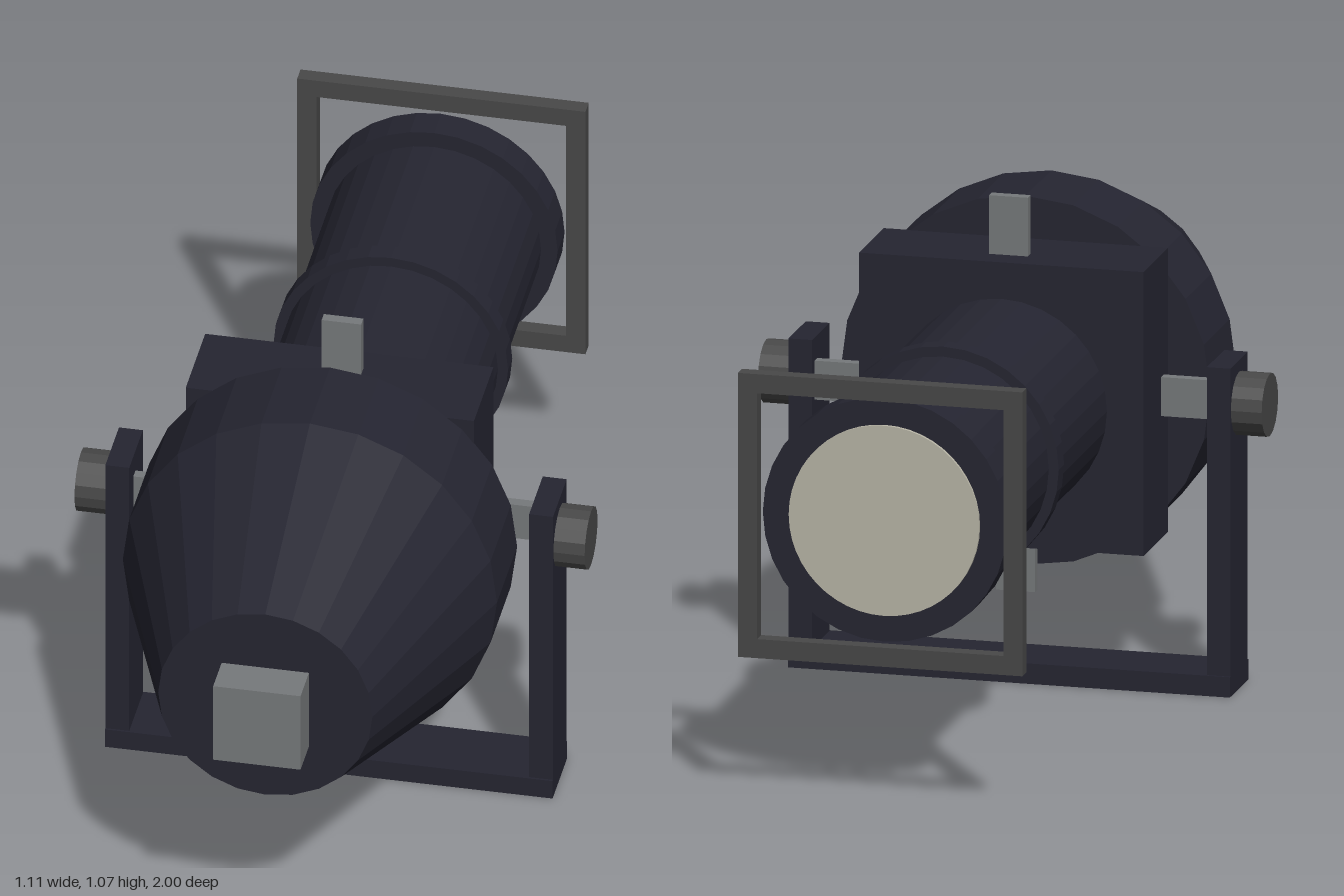
import * as THREE from 'three';

const AXIS_Y = 0.631; // height of the optical axis

export function createModel() {
  const model = new THREE.Group();
  model.name = 'stageSpotlight';

  const mat = (name, color, flatShading = false) => {
    const m = new THREE.MeshStandardMaterial({ color, flatShading });
    m.name = name;
    return m;
  };
  const black = mat('blackHousing', 0x252531, true);
  const grey = mat('bareMetal', 0x76797b, true);
  const darkGrey = mat('darkGreyMetal', 0x484848, true);
  const glass = mat('lensGlass', 0xb8b5a6);

  const add = (name, geometry, material, x = 0, y = 0, z = 0) => {
    const mesh = new THREE.Mesh(geometry, material);
    mesh.name = name;
    mesh.position.set(x, y, z);
    model.add(mesh);
    return mesh;
  };
  const box = (name, w, h, d, material, x, y, z) =>
    add(name, new THREE.BoxGeometry(w, h, d), material, x, y, z);
  // Cylinder along the optical axis, from zBack to zFront
  const barrel = (name, rBack, rFront, zBack, zFront, material, sides = 32) =>
    add(name, new THREE.CylinderGeometry(rFront, rBack, zFront - zBack, sides).rotateX(Math.PI / 2),
      material, 0, AXIS_Y, (zBack + zFront) / 2);

  // Lamp house: straight drum, tapered cap and cable plug
  barrel('lampHouseDrum', 0.407, 0.407, 0.22, 0.435, black, 24);
  barrel('lampHouseTaper', 0.407, 0.233, 0.435, 0.91, black, 24);
  box('cablePlug', 0.19, 0.19, 0.09, grey, 0, AXIS_Y, 0.955);

  // Gate block in the middle
  box('gateBlock', 0.627, 0.627, 0.207, black, 0, AXIS_Y, 0.119);

  // Four shutter handles, each on its own plane
  const reach = 0.443, inner = 0.28, mid = (reach + inner) / 2, len = reach - inner;
  box('topShutter', 0.086, len, 0.023, grey, 0, AXIS_Y + mid, 0.088);
  box('leftShutter', len, 0.086, 0.023, grey, mid, AXIS_Y, 0.117);
  box('bottomShutter', 0.086, len, 0.023, grey, 0, AXIS_Y - mid, 0.146);
  box('rightShutter', len, 0.086, 0.023, grey, -mid, AXIS_Y, 0.175);

  // Lens tube with its rings and lens
  barrel('lensTube', 0.233, 0.233, -0.9, 0.02, black);
  barrel('middleRing', 0.255, 0.255, -0.472, -0.427, black);
  barrel('endRing', 0.269, 0.269, -0.96, -0.886, black);
  barrel('lens', 0.21, 0.21, -0.968, -0.959, glass, 48);

  // Focus knob under the tube
  add('focusKnob', new THREE.CylinderGeometry(0.03, 0.03, 0.09, 16).rotateZ(Math.PI / 2),
    grey, 0, 0.363, -0.63);

  // Square filter frame at the lens end
  const half = 0.3135, bar = 0.042;
  for (const s of [-1, 1]) {
    box('filterFrameSide', bar, half * 2, 0.035, darkGrey, s * (half - bar / 2), AXIS_Y, -0.9825);
    box('filterFrameRail', (half - bar) * 2, bar, 0.035, darkGrey, 0, AXIS_Y + s * (half - bar / 2), -0.9825);
  }

  // Mounting yoke with clamp knobs
  box('yokeBase', 0.974, 0.045, 0.155, black, 0, 0.0225, 0.157);
  for (const s of [-1, 1]) {
    box('yokeArm', 0.052, 0.7, 0.145, black, s * 0.461, 0.375, 0.157);
    add('clampKnob', new THREE.CylinderGeometry(0.069, 0.069, 0.07, 16).rotateZ(Math.PI / 2),
      darkGrey, s * 0.52, AXIS_Y, 0.157);
  }

  return model;
}
